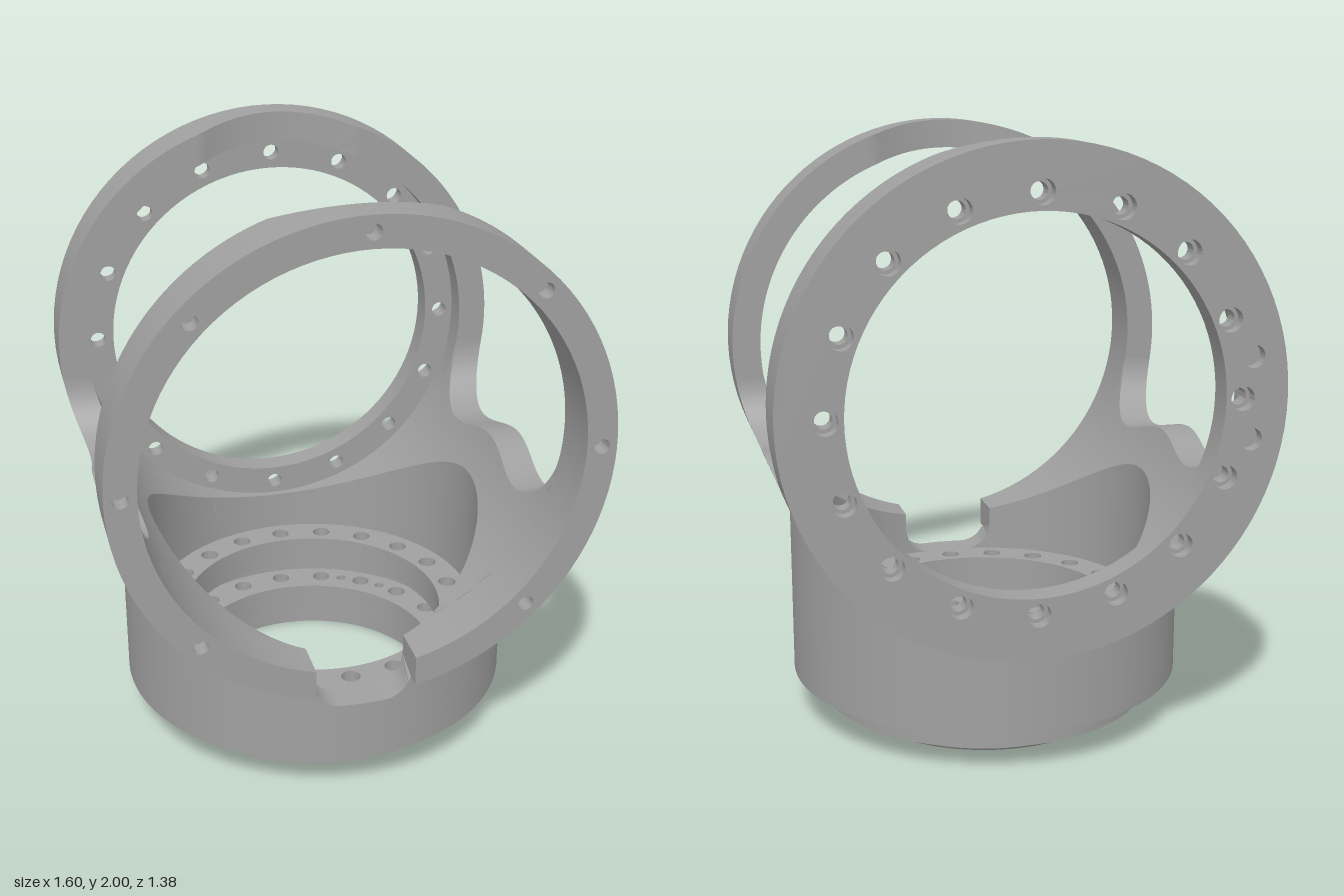
import * as THREE from 'three';
import { toCreasedNormals } from 'three/addons/utils/BufferGeometryUtils.js';

const { sin, cos, asin, acos, sqrt, abs, max, min, PI } = Math;
const AXIS = 1.2;                    // height of the horizontal tube axis
const RO = 0.8, RI = 0.7;            // horizontal tube radii
const BODY = 0.67, BORE = 0.575;     // vertical body radii
const ARM = 0.51, END = 0.69;        // inner and outer z of the end rings
const SLOT = 0.165, FLOOR = 0.36;    // front slot half width and floor height

const metal = new THREE.MeshStandardMaterial({ color: 0xa0a0a0, side: THREE.DoubleSide });
metal.name = 'grey metal';

// Surface patch from a rule fn(u, v) -> [x, y, z], u and v from 0 to 1
function patch(nu, nv, fn, flip = false) {
  const pos = [], idx = [];
  for (let i = 0; i <= nu; i++)
    for (let j = 0; j <= nv; j++) pos.push(...fn(i / nu, j / nv));
  for (let i = 0; i < nu; i++)
    for (let j = 0; j < nv; j++) {
      const a = i * (nv + 1) + j, b = a + nv + 1;
      if (flip) idx.push(a, b + 1, b, a, a + 1, b + 1);
      else idx.push(a, b, b + 1, a, b + 1, a + 1);
    }
  const g = new THREE.BufferGeometry();
  g.setAttribute('position', new THREE.Float32BufferAttribute(pos, 3));
  g.setIndex(idx);
  return g;
}

// Flat ring with round holes, extruded along z; gap = half width of a slot at the bottom
function plate(rOut, rIn, depth, holes, gap = 0) {
  const s = new THREE.Shape();
  if (gap) {
    const a = asin(gap / rOut), b = asin(gap / rIn);
    s.absarc(0, 0, rOut, -PI / 2 + a, 1.5 * PI - a, false);
    s.absarc(0, 0, rIn, 1.5 * PI - b, -PI / 2 + b, true);
  } else {
    s.absarc(0, 0, rOut, 0, 2 * PI, false);
    s.holes.push(new THREE.Path().absarc(0, 0, rIn, 0, 2 * PI, true));
  }
  for (const [r, a, rad] of holes)
    s.holes.push(new THREE.Path().absarc(r * cos(a), r * sin(a), rad, 0, 2 * PI, true));
  return new THREE.ExtrudeGeometry(s, { depth, bevelEnabled: false, curveSegments: 48 });
}

// n evenly spaced holes as [bolt radius, angle, hole radius]
const circle = (n, r, rad) => Array.from({ length: n }, (_, i) => [r, i * 2 * PI / n + PI / 2, rad]);

// Upper edge of the side walls: a low hump flowing up into the rings
function saddle(z) {
  const a = abs(z);
  if (a < 0.3) return 0.9125 + 0.0275 * cos(a / 0.3 * PI);
  return 0.885 + 0.21 * (1 - sqrt(max(0, 1 - ((a - 0.3) / 0.21) ** 2)));
}

// Rounded floor of the front slot
const slotY = x => FLOOR + 0.09 - sqrt(max(0, 0.0081 - max(0, abs(x) - 0.075) ** 2));

// Top of a vertical wall of radius r where it meets the tube of radius tube
function wall(r, tube, flip) {
  return patch(288, 1, (u, v) => {
    const x = r * sin(u * 2 * PI), z = r * cos(u * 2 * PI);
    let top = AXIS - sqrt(tube * tube - x * x);
    if (z > 0 && abs(x) < SLOT) top = min(top, slotY(x));
    return [x, 0.15 + v * (top - 0.15), z];
  }, flip);
}

// Inner z of a ring, hollowed by the vertical bore
const innerZ = x => max(ARM, sqrt(max(0, BORE * BORE - x * x)));

function ring(side, zEnd, gap) {
  const section = [[RO, 1], [RO, 0], [0.775, 0], [0.75, 0], [0.725, 0], [RI, 0], [RI, 1], [RO, 1]];
  return patch(192, section.length - 1, (u, v) => {
    const [r, end] = section[Math.round(v * (section.length - 1))];
    const g = asin(gap / r), a = g + u * (2 * PI - 2 * g);
    const x = r * sin(a);
    return [x, AXIS - r * cos(a), side * (end ? zEnd : innerZ(x))];
  }, side > 0);
}

function cheek(side) {
  const n = 8;
  return patch(96, 2 * n + 1, (u, v) => {
    const z = ARM * sin((u - 0.5) * PI), k = Math.round(v * (2 * n + 1));
    const outer = k <= n, r = outer ? RO : RI, c = outer ? BODY : BORE;
    const t = outer ? k / n : (2 * n + 1 - k) / n;
    const a0 = asin(sqrt(c * c - z * z) / r), a1 = acos((AXIS - saddle(z)) / r);
    const a = a0 + t * (a1 - a0);
    return [side * r * sin(a), AXIS - r * cos(a), z];
  }, side > 0);
}

export function createModel() {
  const model = new THREE.Group();
  model.name = 'pipeYoke';
  const add = (name, geo, y = 0, z = 0, flat = false) => {
    const m = new THREE.Mesh(toCreasedNormals(geo, 0.5), metal);
    m.name = name;
    m.position.set(0, y, z);
    if (flat) m.rotation.x = -PI / 2;
    model.add(m);
  };

  // Vertical body
  add('bodyOuterWall', wall(BODY, RO, false));
  add('bodyBore', wall(BORE, RI, true));

  // Side walls between the rings
  add('leftSideWall', cheek(1));
  add('rightSideWall', cheek(-1));

  // Front ring with shallow screw holes and a slot at the bottom
  add('frontRing', ring(1, 0.63, SLOT));
  const screws = circle(8, 0.75, 0.025).filter((_, i) => i !== 4);
  add('frontRingFace', plate(RO, RI, END - 0.63, screws, SLOT), AXIS, 0.63);
  add('slotFloor', patch(32, 1, (u, v) => {
    const x = (2 * u - 1) * SLOT, r = v ? BORE : BODY;
    const top = AXIS - sqrt(RO * RO - x * x);
    return [x, v ? slotY(x) : min(top, slotY(x)), sqrt(r * r - x * x)];
  }));
  for (const s of [1, -1])
    add('slotSide', patch(1, 1, (u, v) => {
      const r = v ? RI : RO;
      return [s * SLOT, AXIS - sqrt(r * r - SLOT * SLOT), u ? 0.63 : innerZ(SLOT)];
    }, s < 0));

  // Back ring with an inward flange and counterbored holes
  add('backRing', ring(-1, 0.6, 0));
  const bores = circle(16, 0.65, 0.039);
  for (const s of [1, -1]) bores.push([0.695, PI + s * 0.19, 0.036]);
  add('backFlangeOuterLayer', plate(RO, 0.595, 0.04, bores), AXIS, -END);
  add('backFlangeInnerLayer', plate(RO, 0.595, 0.05, circle(16, 0.65, 0.027)), AXIS, -END + 0.04);

  // Two bolt flanges inside the body
  const bolts = circle(20, 0.51, 0.032);
  const extras = [];
  for (let i = 0; i < 4; i++)
    for (const d of [-0.5, 0.5]) extras.push([0.51, PI / 4 + i * PI / 2 + PI / 20 * (d > 0 ? 2 : 0), 0.018]);
  add('upperFlange', plate(BORE, 0.455, 0.11, bolts), 0.25, 0, true);
  add('lowerFlange', plate(0.57, 0.435, 0.1, bolts.concat(
    extras.filter(e => bolts.every(b => abs(sin((e[1] - b[1]) / 2)) > 0.06)))), 0.06, 0, true);

  // Bottom lip with a fine groove, and the body's underside
  const lathe = pts => new THREE.LatheGeometry(pts.map(p => new THREE.Vector2(...p)), 96);
  add('bottomLip', lathe([[0.435, 0.06], [0.435, 0], [0.46, 0], [0.466, 0.008],
    [0.466, 0.035], [0.455, 0.045], [0.455, 0.06]]));
  add('bodyUnderside', lathe([[0.56, 0.15], [0.664, 0.15], [BODY, 0.156]]));
  return model;
}
